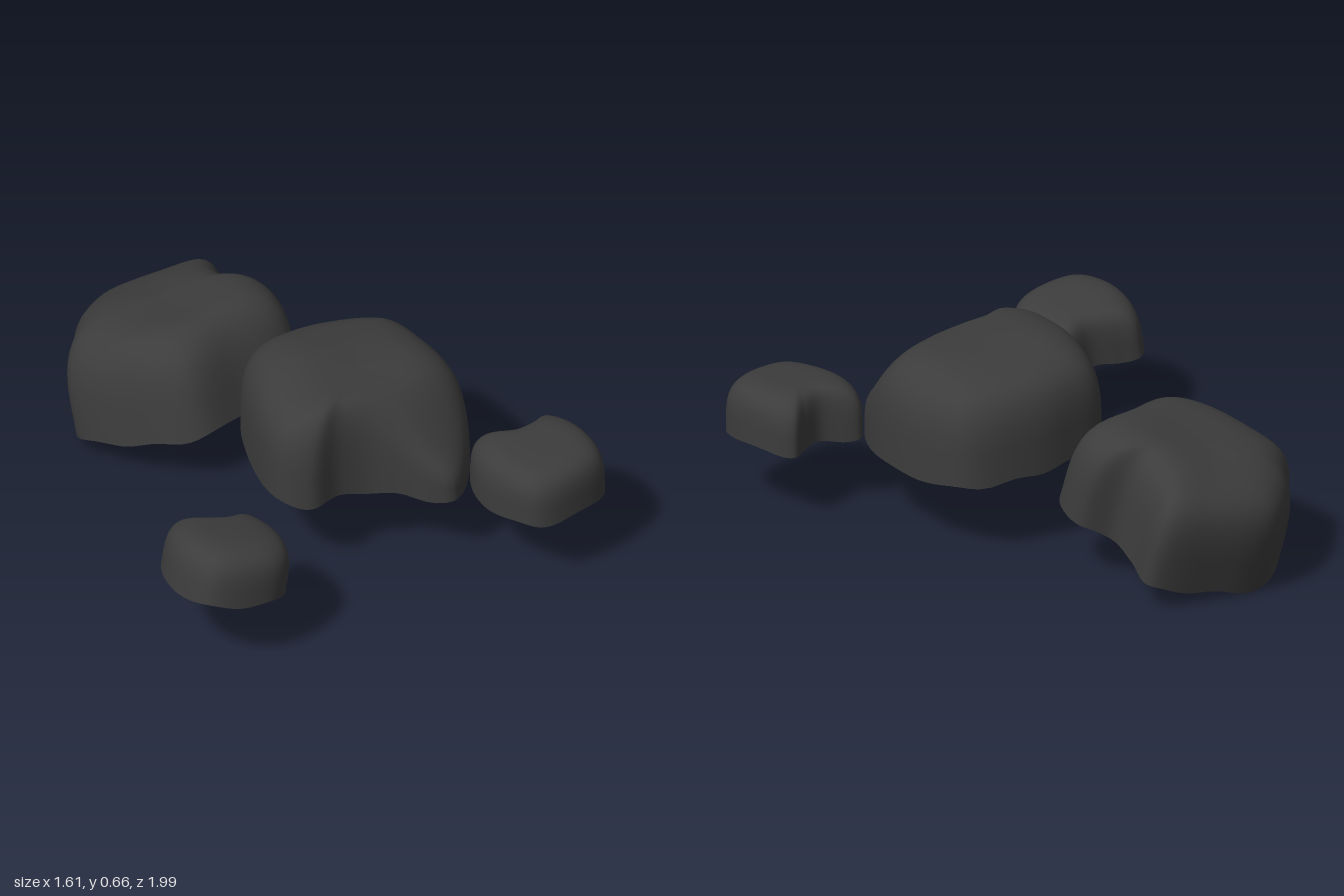
import * as THREE from 'three';

const material = new THREE.MeshStandardMaterial({ color: 0x3c3c3c });
const SIDES = 80;
const RINGS = 18;

function meshFrom(points, index, name) {
  const geometry = new THREE.BufferGeometry();
  geometry.setAttribute('position', new THREE.Float32BufferAttribute(points, 3));
  geometry.setIndex(index);
  geometry.computeVertexNormals();
  const mesh = new THREE.Mesh(geometry, material);
  mesh.name = name;
  return mesh;
}

// A stone: plan outline [x, z] lofted up from a tilted flat base.
// base is [height, slope along x, slope along z]; lean shifts x and z per unit of height.
function stone(name, outline, base, lean, height) {
  const curve = new THREE.CatmullRomCurve3(
    outline.map(([x, z]) => new THREE.Vector3(x, 0, z)), true);
  const plan = curve.getPoints(SIDES).slice(0, SIDES);
  const c = new THREE.Box3().setFromPoints(plan).getCenter(new THREE.Vector3());
  const meanRadius = plan.reduce((sum, p) => sum + p.distanceTo(c), 0) / SIDES;

  // s shrinks the outline toward the centre and rounds it off, f is the fraction of the full height
  const place = (p, s, f) => {
    const round = THREE.MathUtils.lerp(1, meanRadius / p.distanceTo(c), (1 - s) * 0.8);
    const x = c.x + (p.x - c.x) * s * round;
    const z = c.z + (p.z - c.z) * s * round;
    const wave = Math.sin(x * 13 + z * 5) + Math.sin(z * 17 - x * 7);
    const h = f * height(z) * (1 + 0.012 * wave);
    const ripple = 0.006 * Math.sin(x * 23 + z * 19) * (1 - f);
    return [
      x + lean[0] * h,
      base[0] + base[1] * (x - c.x) + base[2] * (z - c.z) + h + ripple,
      z + lean[1] * h,
    ];
  };

  // steep sides and rounded crown follow a superellipse
  const points = [], index = [];
  for (let j = 0; j <= RINGS; j++) {
    const a = (j / RINGS) * Math.PI / 2;
    const s = j === RINGS ? 0 : Math.cos(a) ** 0.47;
    const f = Math.sin(a) ** 0.47;
    plan.forEach((p) => points.push(...place(p, s, f)));
  }
  for (let j = 0; j < RINGS; j++) {
    for (let i = 0; i < SIDES; i++) {
      const a = j * SIDES + i, b = j * SIDES + (i + 1) % SIDES;
      index.push(a, a + SIDES, b + SIDES, a, b + SIDES, b);
    }
  }

  // flat underside, kept separate for a crisp edge
  const under = [c.x, base[0], c.z], underIndex = [];
  plan.forEach((p, i) => {
    under.push(...place(p, 1, 0));
    underIndex.push(0, i + 1, (i + 1) % SIDES + 1);
  });

  const group = new THREE.Group();
  group.name = name;
  group.add(meshFrom(points, index, name + 'Body'), meshFrom(under, underIndex, name + 'Underside'));
  return group;
}

export function createModel() {
  const model = new THREE.Group();
  model.name = 'stones';

  // large stone at the back, tipped backwards
  model.add(stone('backStone', [
    [0.08, -0.93], [0.32, -0.86], [0.47, -0.77], [0.41, -0.63], [0.375, -0.51], [0.44, -0.41],
    [0.37, -0.26], [0.12, -0.23], [-0.11, -0.22], [-0.23, -0.39], [-0.285, -0.66],
    [-0.18, -0.77], [-0.1, -0.85],
  ], [0.118, 0.09, 0.32], [0, -0.31], () => 0.365));

  // large middle stone whose front tongue drops away
  model.add(stone('middleStone', [
    [0.03, -0.14], [0.2, -0.155], [0.37, -0.13], [0.58, -0.02], [0.61, 0.18], [0.56, 0.42],
    [0.45, 0.58], [0.31, 0.67], [0.18, 0.53], [0.1, 0.46], [0, 0.425], [-0.12, 0.43],
    [-0.19, 0.33], [-0.11, 0.06],
  ], [0.275, -0.05, -0.04], [0, 0],
  (z) => 0.37 * (1 - 0.55 * THREE.MathUtils.smoothstep(z, 0.38, 0.67))));

  // two small stones in front
  model.add(stone('smallRightStone', [
    [-0.68, 0.32], [-0.61, 0.36], [-0.53, 0.41], [-0.41, 0.41], [-0.39, 0.53], [-0.46, 0.71],
    [-0.56, 0.755], [-0.77, 0.69], [-0.805, 0.55], [-0.76, 0.4],
  ], [0.255, -0.19, 0.05], [0.18, 0], () => 0.195));

  model.add(stone('smallLeftStone', [
    [0.48, 0.57], [0.6, 0.645], [0.68, 0.64], [0.76, 0.625], [0.8, 0.74], [0.755, 0.95],
    [0.59, 0.997], [0.44, 0.965], [0.385, 0.78], [0.415, 0.64],
  ], [0.256, 0.02, 0.02], [0, 0], () => 0.2));

  return model;
}
